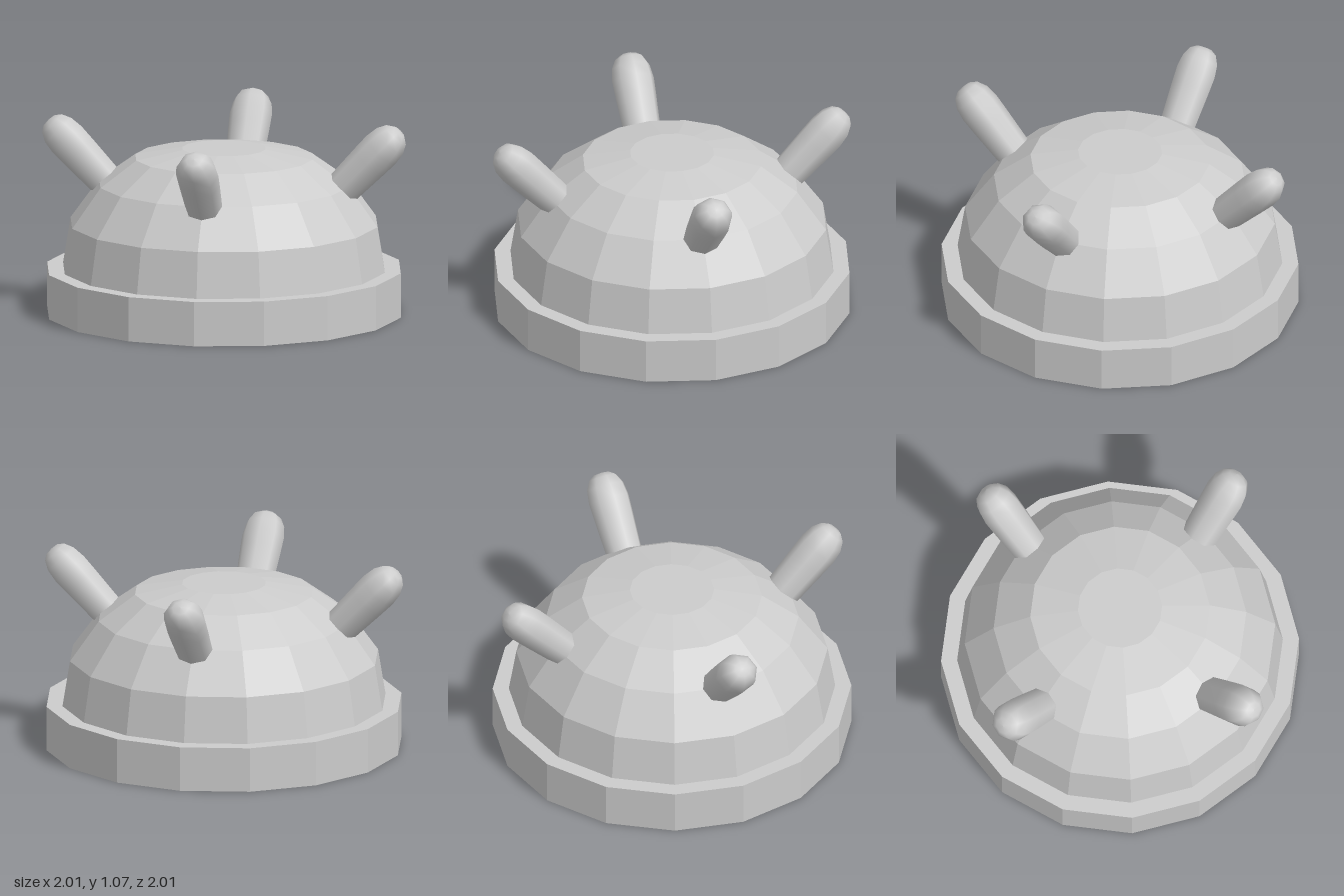
import * as THREE from 'three';

const points = (list) => list.map(([r, y]) => new THREE.Vector2(r, y));

export function createModel() {
  const model = new THREE.Group();
  const faceted = new THREE.MeshStandardMaterial({ color: 0xcccccc, flatShading: true });
  const smooth = new THREE.MeshStandardMaterial({ color: 0xcccccc });
  const SIDES = 16;

  // Wide low base ring, closed above and below
  const base = new THREE.Mesh(new THREE.CylinderGeometry(0.977, 0.977, 0.246, SIDES), faceted);
  base.name = 'base';
  base.position.y = 0.123;
  model.add(base);

  // Faceted dome with a small flat top
  const domeProfile = points([
    [0.89, 0.24], [0.848, 0.498], [0.69, 0.717], [0.49, 0.861], [0.23, 0.909], [0, 0.909],
  ]);
  const dome = new THREE.Mesh(new THREE.LatheGeometry(domeProfile, SIDES), faceted);
  dome.name = 'dome';
  model.add(dome);

  // Rounded studs, slightly thicker towards the tip, leaning outwards
  const studProfile = points([
    [0, -0.15], [0.095, -0.15], [0.104, 0], [0.114, 0.2], [0.117, 0.29],
    [0.107, 0.36], [0.08, 0.41], [0.045, 0.433], [0, 0.438],
  ]);
  const studGeometry = new THREE.LatheGeometry(studProfile, 8);
  studGeometry.scale(1, 1, 0.94);
  const studs = ['front', 'left', 'back', 'right'];
  studs.forEach((side, i) => {
    const holder = new THREE.Group();
    holder.name = side + 'Stud';
    holder.rotation.y = i * Math.PI / 2;
    const stud = new THREE.Mesh(studGeometry, smooth);
    stud.name = side + 'StudBody';
    stud.position.set(0, 0.72, 0.666);
    stud.rotation.x = THREE.MathUtils.degToRad(44);
    holder.add(stud);
    model.add(holder);
  });

  return model;
}
